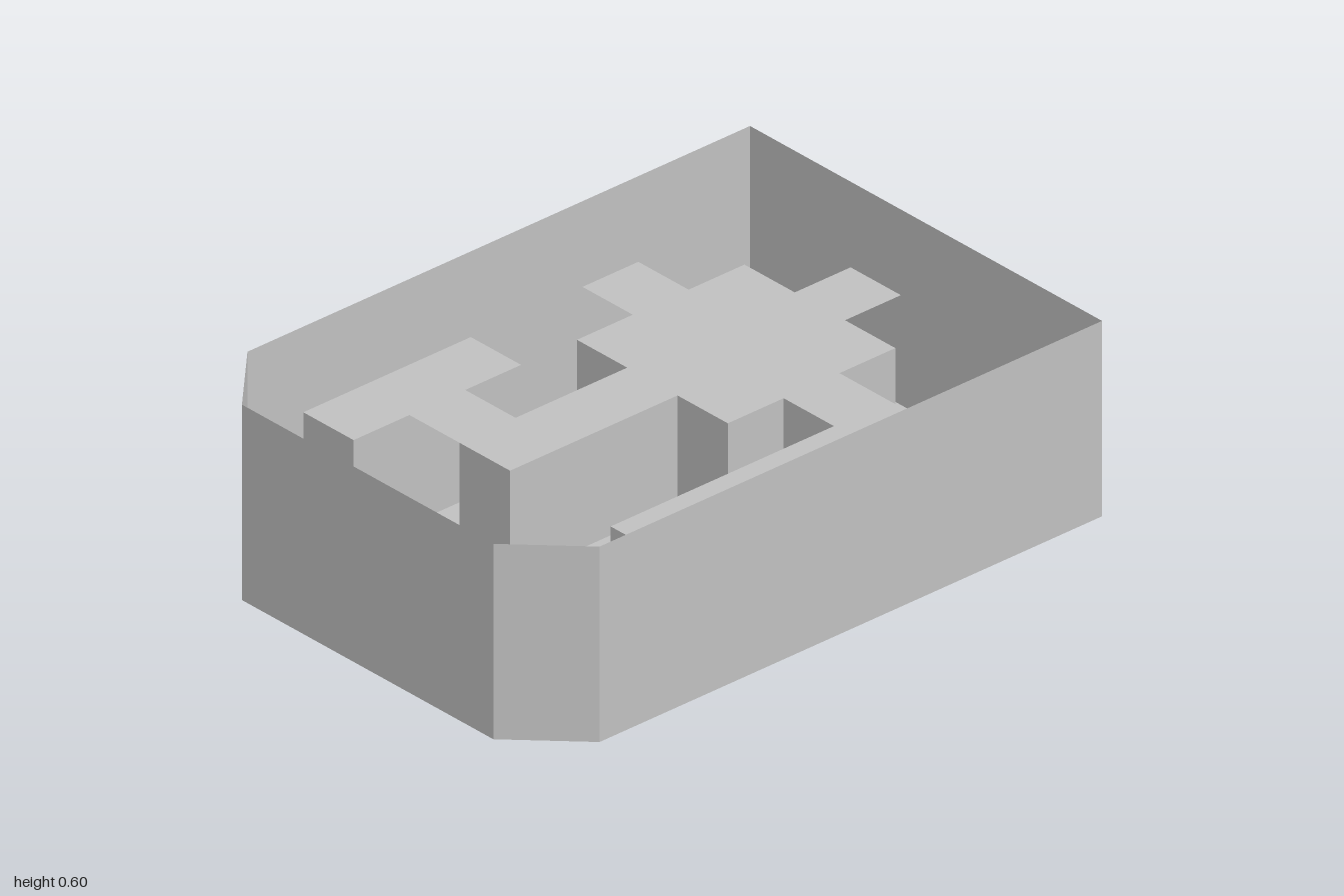
import * as THREE from 'three';

const WALL = 0.6;   // height of the outer wall
const DECK = 0.337; // height of the raised walkway

// Flat shape from [x, z] points
function plan(points) {
  return new THREE.Shape(points.map(([x, z]) => new THREE.Vector2(x, -z)));
}

function rect(x0, z0, x1, z1) {
  return [[x0, z0], [x0, z1], [x1, z1], [x1, z0]];
}

export function createModel() {
  const group = new THREE.Group();
  const grey = new THREE.MeshStandardMaterial({ color: 0xc0c0c0, side: THREE.DoubleSide });
  grey.name = 'plain grey';

  function add(name, geometry, y = 0) {
    const mesh = new THREE.Mesh(geometry, grey);
    mesh.name = name;
    mesh.position.y = y;
    group.add(mesh);
  }
  const sheet = (points) => new THREE.ShapeGeometry(plan(points)).rotateX(-Math.PI / 2);
  const block = (points) => new THREE.ExtrudeGeometry(plan(points),
    { depth: DECK, bevelEnabled: false }).rotateX(-Math.PI / 2);

  // Tray: floor and paper-thin walls, front corners cut off
  const outline = [[-0.7, -1], [-0.7, 0.8], [-0.5, 1], [0.5, 1], [0.7, 0.8], [0.7, -1]];
  add('floor', sheet(outline));
  outline.forEach(([x0, z0], i) => {
    const [x1, z1] = outline[(i + 1) % outline.length];
    const wall = new THREE.PlaneGeometry(Math.hypot(x1 - x0, z1 - z0), WALL);
    wall.rotateY(Math.atan2(z0 - z1, x1 - x0));
    wall.translate((x0 + x1) / 2, WALL / 2, (z0 + z1) / 2);
    add('outerWall', wall);
  });

  // Raised solid parts inside the tray
  add('mainPlateau', block([
    [-0.3, -0.8], [0.1, -0.8], [0.1, -0.6], [0.5, -0.6], [0.5, 0], [0.3, 0],
    [0.3, -0.4], [0.1, -0.4], [0.1, -0.2], [-0.1, -0.2], [-0.1, 0.4], [-0.3, 0.4],
    [-0.3, -0.2], [-0.5, -0.2], [-0.5, -0.8],
  ]));
  add('leftPlateau', block(rect(0.3, 0.2, 0.7, 0.4)));
  add('rightPlateau', block(rect(-0.7, 0, -0.5, 0.6)));
  add('frontBlock', block(rect(-0.3, 0.8, 0.1, 1)));

  // Thin bridges over the passages between the pits
  const bridges = [[-0.3, -1], [-0.7, -0.6], [0.3, 0], [-0.5, 0.2]];
  for (const [x, z] of bridges) add('bridge', sheet(rect(x, z, x + 0.2, z + 0.2)), DECK);

  return group;
}
